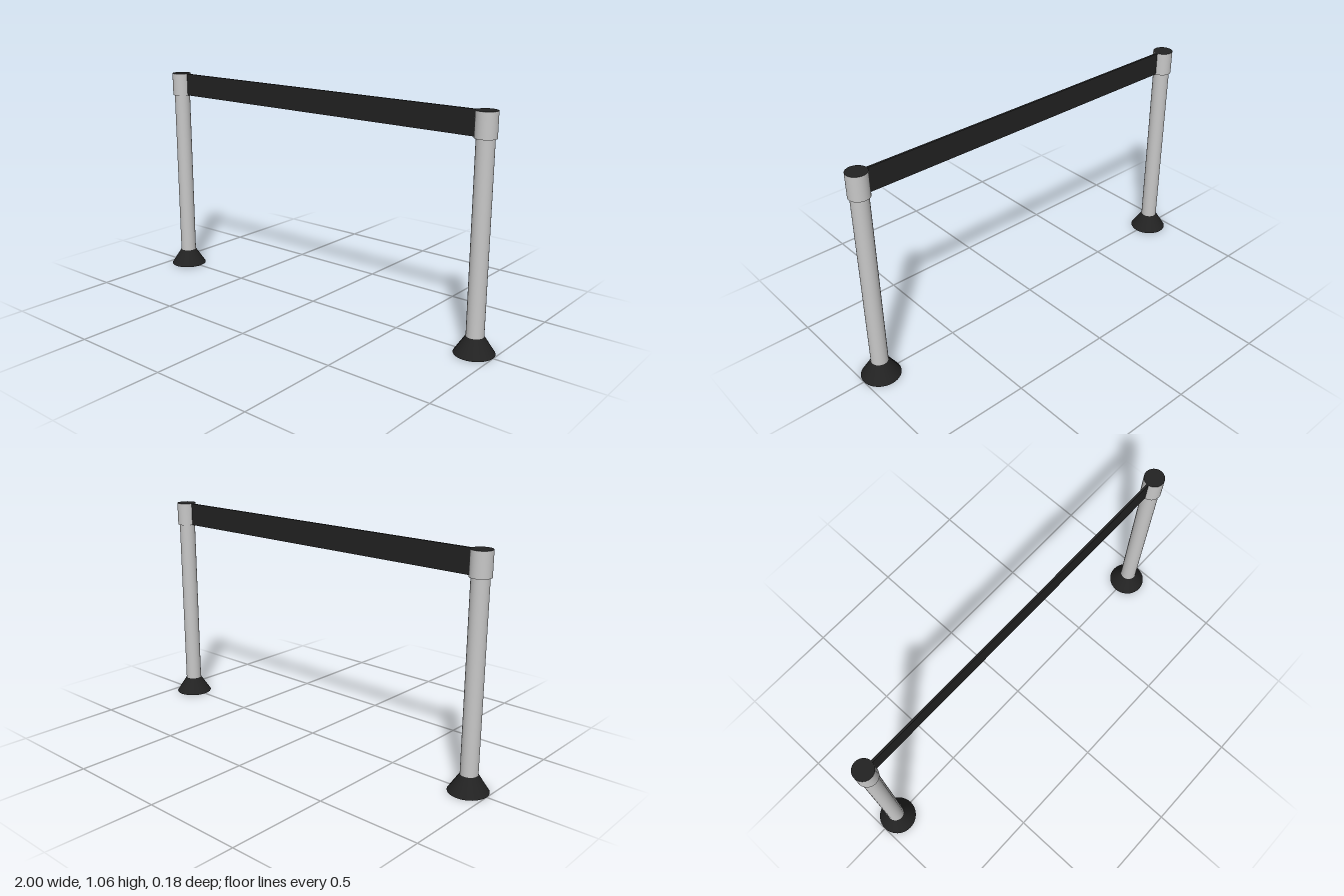
import * as THREE from 'three';

const SEGMENTS = 40;
const POST_X = 0.908;
const BELT_BOTTOM = 0.946;
const TOP = 1.06;

export function createModel() {
  const silver = new THREE.MeshStandardMaterial({ name: 'silver', color: 0xc8c8c8 });
  const black = new THREE.MeshStandardMaterial({ name: 'black', color: 0x222222 });

  // Upright round part between two heights; materials are [side, top, bottom]
  const roundPart = (name, rTop, rBottom, y0, y1, materials) => {
    const geometry = new THREE.CylinderGeometry(rTop, rBottom, y1 - y0, SEGMENTS);
    const mesh = new THREE.Mesh(geometry, materials);
    mesh.name = name;
    mesh.position.y = (y0 + y1) / 2;
    return mesh;
  };

  const model = new THREE.Group();
  model.name = 'beltBarrier';

  // Two matching posts
  for (const [name, side] of [['leftPost', 1], ['rightPost', -1]]) {
    const post = new THREE.Group();
    post.name = name;
    post.position.x = side * POST_X;
    post.add(
      roundPart('foot', 0.04, 0.092, 0, 0.08, [black, black, silver]),
      roundPart('pole', 0.04, 0.04, 0.078, BELT_BOTTOM + 0.01, silver),
      roundPart('beltHead', 0.048, 0.048, BELT_BOTTOM, TOP, [silver, black, black]),
    );
    model.add(post);
  }

  // Belt stretched between the heads, ending just inside them
  const belt = new THREE.Mesh(
    new THREE.BoxGeometry(2 * (POST_X - 0.03), TOP - BELT_BOTTOM - 0.001, 0.01),
    black,
  );
  belt.name = 'belt';
  belt.position.y = (BELT_BOTTOM + TOP) / 2;
  model.add(belt);

  return model;
}
